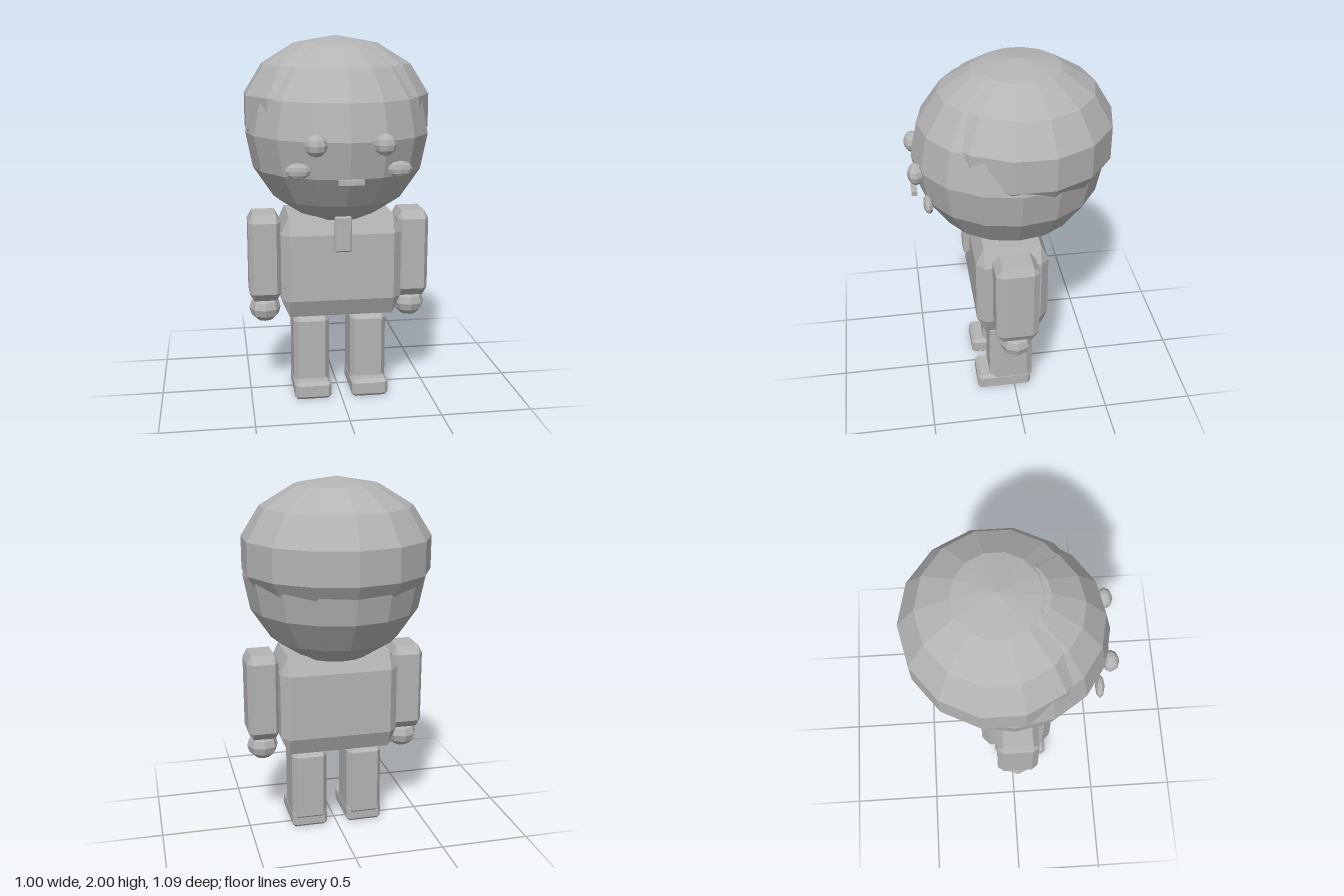
import * as THREE from 'three';
import { ConvexGeometry } from 'three/addons/geometries/ConvexGeometry.js';

const grey = new THREE.MeshStandardMaterial({ color: 0xb4b4b4, flatShading: true });
grey.name = 'plain grey';

export function createModel() {
  const model = new THREE.Group();
  model.name = 'figure';

  const add = (name, geometry, x, y, z) => {
    const mesh = new THREE.Mesh(geometry, grey);
    mesh.name = name;
    mesh.position.set(x, y, z);
    model.add(mesh);
    return mesh;
  };

  // Low-poly ellipsoid with one column of vertices facing straight front and back
  const ball = (rx, ry, rz, columns, rows) =>
    new THREE.SphereGeometry(1, columns, rows).rotateY(Math.PI / 2).scale(rx, ry, rz);

  // Box with half sizes hx, hy, hz and a chamfer depth along each axis
  const chamferBox = (hx, hy, hz, cx, cy, cz) => {
    const points = [];
    for (const sx of [-1, 1]) for (const sy of [-1, 1]) for (const sz of [-1, 1]) {
      points.push(
        new THREE.Vector3(sx * hx, sy * (hy - cy), sz * (hz - cz)),
        new THREE.Vector3(sx * (hx - cx), sy * hy, sz * (hz - cz)),
        new THREE.Vector3(sx * (hx - cx), sy * (hy - cy), sz * hz));
    }
    return new ConvexGeometry(points);
  };

  // Head, with the hair as a second, flatter ball set further back
  add('head', ball(0.5, 0.5, 0.515, 16, 8), 0, 1.49, 0);
  add('hair', ball(0.522, 0.4, 0.503, 14, 7), 0, 1.6, -0.057);
  add('mouth', new THREE.BoxGeometry(0.13, 0.025, 0.03), 0, 1.292, 0.51);

  // Body and tie
  add('torso', chamferBox(0.33, 0.283, 0.198, 0.045, 0.1, 0.045), 0, 0.768, 0.021);
  add('tie', chamferBox(0.045, 0.097, 0.02, 0.007, 0.007, 0.007), 0, 0.963, 0.24);

  // Paired parts
  for (const [side, s] of [['left', 1], ['right', -1]]) {
    add(side + 'Eye', ball(0.057, 0.057, 0.045, 8, 6), s * 0.173, 1.478, 0.5);
    add(side + 'Cheek', ball(0.065, 0.042, 0.025, 8, 6), s * 0.26, 1.345, 0.45)
      .rotation.y = s * 0.08;
    add(side + 'Arm', chamferBox(0.088, 0.245, 0.116, 0.025, 0.045, 0.035), s * 0.412, 0.805, 0.02);
    add(side + 'Hand', ball(0.088, 0.08, 0.088, 8, 6), s * 0.412, 0.5, 0.02);
    add(side + 'Leg', chamferBox(0.1, 0.222, 0.125, 0.025, 0.04, 0.035), s * 0.16, 0.26, 0.02);
    add(side + 'Foot', chamferBox(0.102, 0.05, 0.156, 0.018, 0.018, 0.02), s * 0.16, 0.055, 0.06);
  }

  return model;
}
